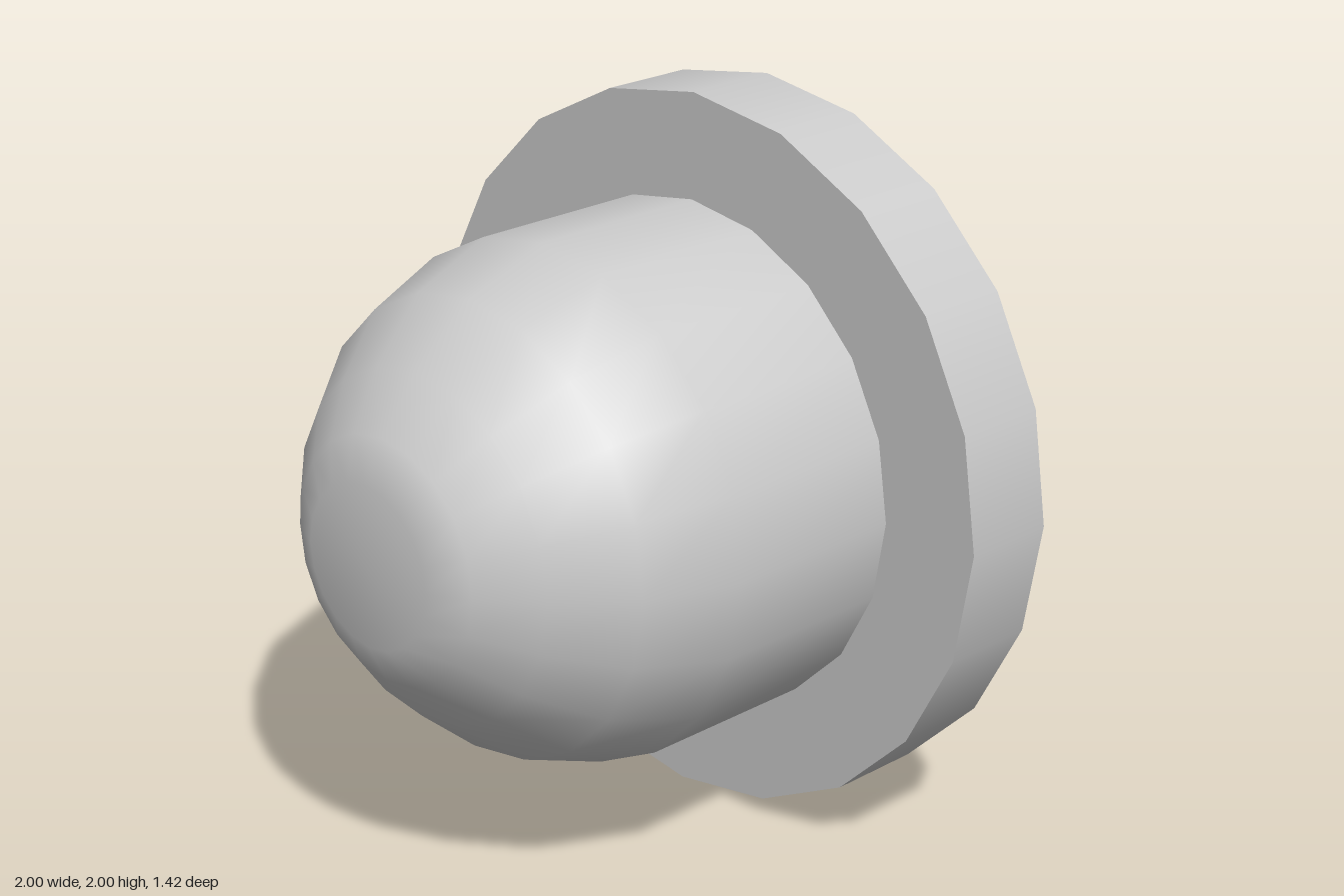
import * as THREE from 'three';

const SIDES = 20;
const BACK = -0.71, FLANGE = -0.43; // z of the open end and of the flange
const DOME_RADIUS = 0.71, RIM_RADIUS = 1;

export function createModel() {
  const group = new THREE.Group();
  // thin open shell, seen from inside and outside
  const material = new THREE.MeshStandardMaterial({ color: 0xcccccc, side: THREE.DoubleSide });

  const add = (name, geometry, z = 0) => {
    const mesh = new THREE.Mesh(geometry, material);
    mesh.name = name;
    mesh.position.set(0, 1, z);
    group.add(mesh);
  };

  // hollow dome: straight sleeve, rounded shoulder and small flat nose (radius, z)
  const profile = [
    [DOME_RADIUS, FLANGE], [DOME_RADIUS, 0.11], [0.62, 0.36],
    [0.47, 0.54], [0.33, 0.655], [0.22, 0.71], [0, 0.71],
  ].map(([r, z]) => new THREE.Vector2(r, z));
  add('dome', new THREE.LatheGeometry(profile, SIDES).rotateX(Math.PI / 2));

  // flat annular flange around the dome's mouth
  add('flange', new THREE.RingGeometry(DOME_RADIUS, RIM_RADIUS, SIDES), FLANGE);

  // skirt running back from the flange, open at the back
  const depth = FLANGE - BACK;
  const skirt = new THREE.CylinderGeometry(RIM_RADIUS, RIM_RADIUS, depth, SIDES, 1, true);
  add('rimSkirt', skirt.rotateX(Math.PI / 2), (FLANGE + BACK) / 2);

  return group;
}
